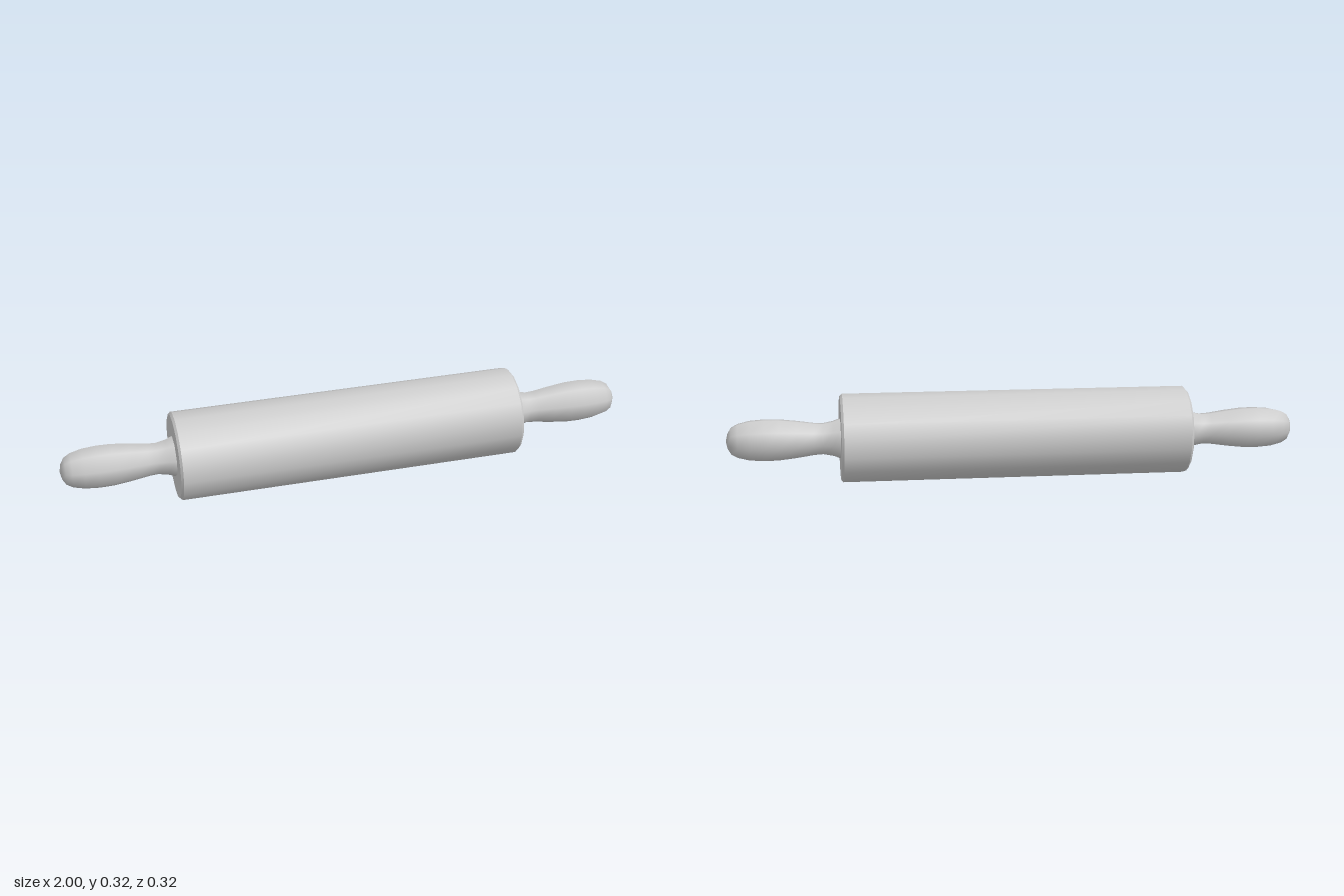
import * as THREE from 'three';
import { toCreasedNormals } from 'three/addons/utils/BufferGeometryUtils.js';

const PHASE = THREE.MathUtils.degToRad(31.5); // roll of the facets about the long axis

// Turn a profile of [position along x, radius] into a solid lying along x
function turned(profile, sides) {
  const points = profile.map(([x, r]) => new THREE.Vector2(r, x));
  return new THREE.LatheGeometry(points, sides, PHASE).rotateZ(-Math.PI / 2);
}

export function createModel() {
  const material = new THREE.MeshStandardMaterial({ color: 0xcccccc });
  const pin = new THREE.Group();
  pin.name = 'rollingPin';

  const add = (name, geometry) => {
    const mesh = new THREE.Mesh(geometry, material);
    mesh.name = name;
    pin.add(mesh);
  };

  // Roller: sixteen-sided barrel with narrow bevels and flat ends
  const half = 0.61, radius = 0.154, bevel = 0.008;
  const barrel = [
    [-half, 0], [-half, radius - bevel], [-half + bevel, radius],
    [half - bevel, radius], [half, radius - bevel], [half, 0],
  ];
  add('roller', toCreasedNormals(turned(barrel, 16), Math.PI / 6));

  // Handles: flared base, narrow neck, swelling grip and rounded tip
  const grip = [
    [0.6, 0.073], [0.615, 0.071], [0.635, 0.063], [0.67, 0.056], [0.7, 0.058],
    [0.76, 0.067], [0.82, 0.074], [0.87, 0.075], [0.92, 0.071], [0.96, 0.061],
    [0.982, 0.048], [0.994, 0.028], [1, 0],
  ];
  add('leftHandle', turned(grip, 8));
  add('rightHandle', turned(grip.map(([x, r]) => [-x, r]).reverse(), 8));

  // The whole pin rests very slightly askew
  pin.rotation.set(0, -0.0115, 0.01);
  pin.position.y = 0.158;

  const model = new THREE.Group();
  model.add(pin);
  return model;
}
